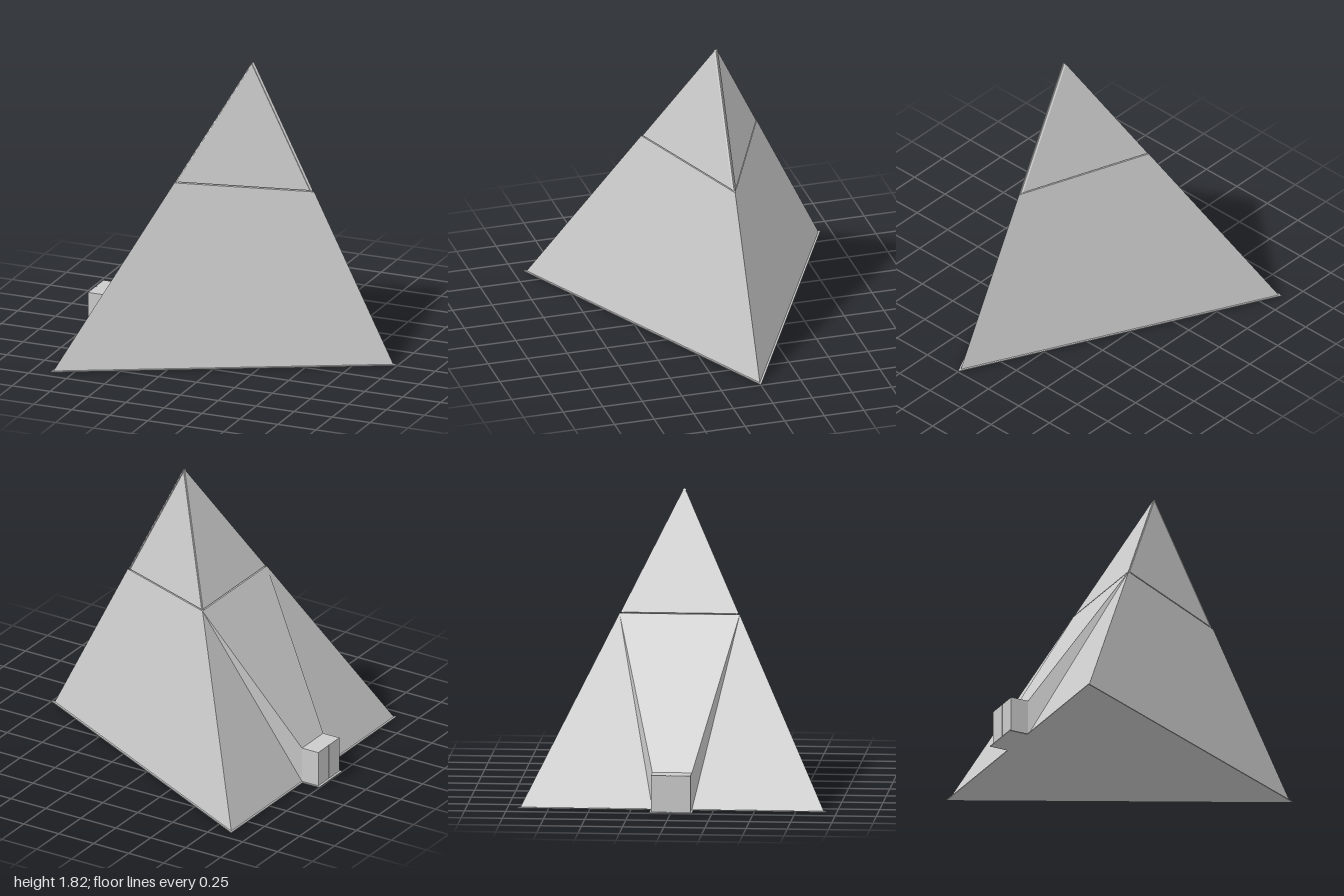
import * as THREE from 'three';
import { ConvexGeometry } from 'three/addons/geometries/ConvexGeometry.js';

const V = (x, y, z) => new THREE.Vector3(x, y, z);

export function createModel() {
  const model = new THREE.Group();
  const material = new THREE.MeshStandardMaterial({ color: 0xcccccc, flatShading: true });

  const add = (name, geometry, parent = model) => {
    const mesh = new THREE.Mesh(geometry, material);
    mesh.name = name;
    parent.add(mesh);
    return mesh;
  };
  const hull = (name, points, parent) => add(name, new ConvexGeometry(points), parent);

  // Main corners: three on the ground, the peak, and the seam below the cap
  const apex = V(0.053, 1.835, 0);
  const base = [V(0.975, 0.004, 0), V(-0.87, 0.004, -0.922), V(-0.87, 0.004, 0.922)];
  const seamHeights = [1.04, 1.11, 1.11];
  const seam = base.map((p, i) => p.clone().lerp(apex, (seamHeights[i] - p.y) / (apex.y - p.y)));

  // Thin ground plate with a tab under the entrance
  const plate = new THREE.Shape([
    [1, 0], [-0.88, 0.938], [-0.88, 0.13], [-1, 0.13],
    [-1, -0.13], [-0.88, -0.13], [-0.88, -0.938],
  ].map(([x, y]) => new THREE.Vector2(x, y)));
  const plateGeometry = new THREE.ExtrudeGeometry(plate, { depth: 0.006, bevelEnabled: false });
  plateGeometry.rotateX(-Math.PI / 2);
  add('groundPlate', plateGeometry);

  // Lower body: a three-sided pyramid cut off along the sloping seam
  hull('lowerBody', [...base, ...seam]);

  // Cap: a recessed core with three panels, parted by narrow grooves
  const cap = new THREE.Group();
  cap.name = 'cap';
  model.add(cap);
  const capCorners = [apex, ...seam];
  const centre = capCorners.reduce((sum, p) => sum.add(p), V(0, 0, 0)).multiplyScalar(0.25);
  hull('capCore', capCorners.map((p) => p.clone().lerp(centre, 0.09)), cap);

  const gap = 0.007;
  const thickness = 0.018;
  const panelNames = ['rearPanel', 'backPanel', 'frontPanel'];
  for (let i = 0; i < 3; i++) {
    const corners = [apex, seam[i], seam[(i + 1) % 3]];
    const outer = corners.map((p, k) => {
      const a = corners[(k + 1) % 3].clone().sub(p).normalize();
      const b = corners[(k + 2) % 3].clone().sub(p).normalize();
      const inset = gap / Math.sin(a.angleTo(b));
      return p.clone().addScaledVector(a, inset).addScaledVector(b, inset);
    });
    const normal = new THREE.Triangle(...corners).getNormal(V(0, 0, 0));
    if (normal.dot(centre.clone().sub(apex)) < 0) normal.negate();
    if (normal.dot(centre.clone().sub(corners[1])) < 0) normal.negate();
    const inner = outer.map((p) => p.clone().addScaledVector(inward(normal, centre, p), thickness));
    hull(panelNames[i], [...outer, ...inner], cap);
  }

  // Sloping passage fanning out from the entrance up to the seam
  hull('passageRoof', [
    seam[1], seam[2],
    ...[-1, 1].flatMap((s) => [V(-0.87, 0.23, s * 0.12), V(-0.87, 0.004, s * 0.12)]),
  ]);

  // Entrance box with two door leaves
  const entrance = new THREE.Group();
  entrance.name = 'entrance';
  model.add(entrance);
  add('porch', new THREE.BoxGeometry(0.12, 0.226, 0.24), entrance).position.set(-0.92, 0.117, 0);
  for (const s of [-1, 1]) {
    const leaf = add(s < 0 ? 'rearDoorLeaf' : 'frontDoorLeaf', new THREE.BoxGeometry(0.008, 0.226, 0.117), entrance);
    leaf.position.set(-0.982, 0.117, s * 0.0615);
  }

  return model;
}

// The normal, turned to point from the face towards the centre
function inward(normal, centre, point) {
  const n = normal.clone();
  return n.dot(centre.clone().sub(point)) < 0 ? n.negate() : n;
}
